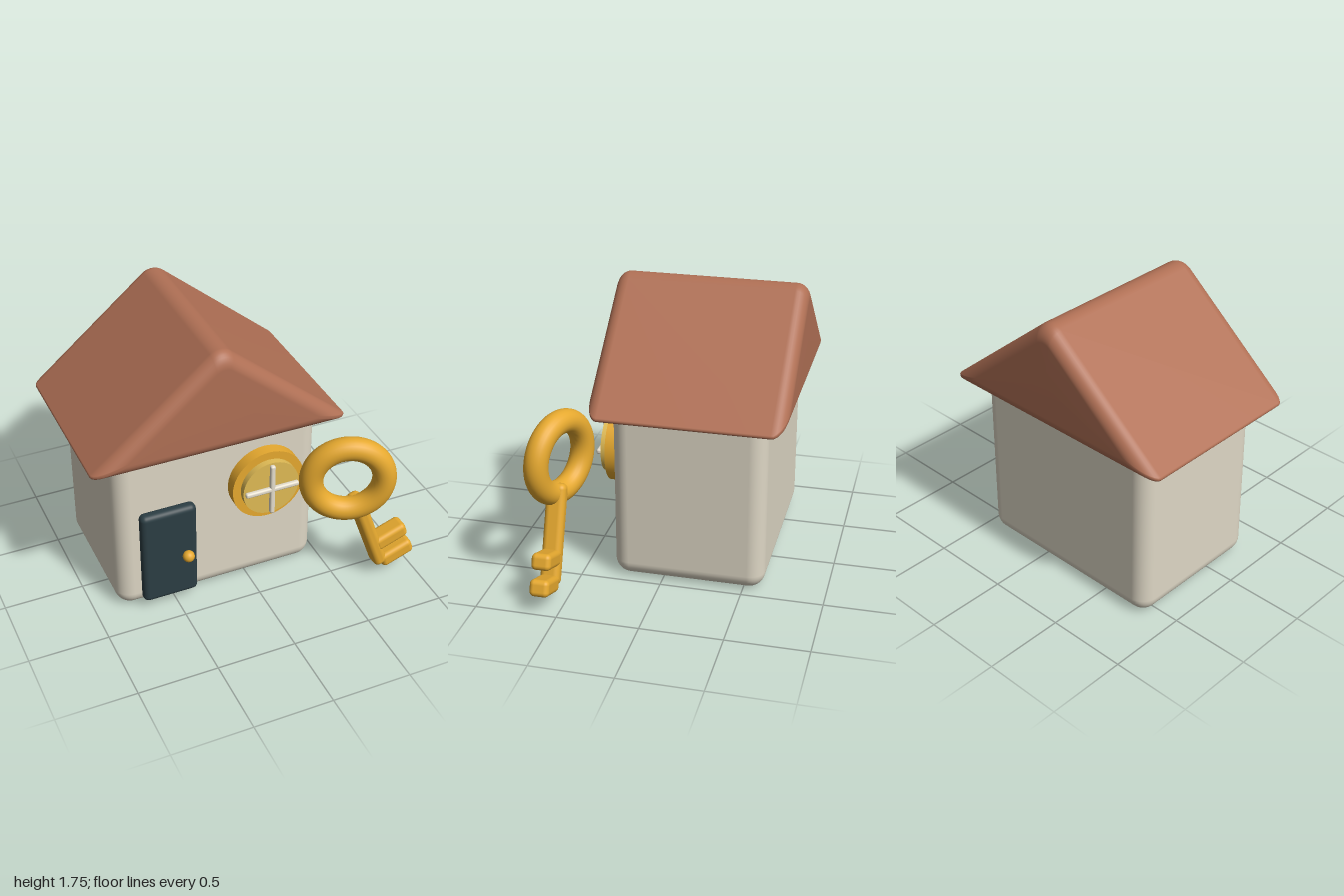
import * as THREE from 'three';
import { RoundedBoxGeometry } from 'three/addons/geometries/RoundedBoxGeometry.js';

const paint = (color) => new THREE.MeshStandardMaterial({ color });
const wall = paint(0xded7c5), clay = paint(0xb07055), slate = paint(0x2c3e44);
const gold = paint(0xe6a92f), glass = paint(0xe0bb55), cream = paint(0xe6dfce);

function add(parent, name, geometry, material, x = 0, y = 0, z = 0) {
  const mesh = new THREE.Mesh(geometry, material);
  mesh.name = name;
  mesh.position.set(x, y, z);
  parent.add(mesh);
  return mesh;
}

// Rounded box given by its two opposite corners
function addBox(parent, name, material, [x0, y0, z0], [x1, y1, z1], radius) {
  const geometry = new RoundedBoxGeometry(x1 - x0, y1 - y0, z1 - z0, 5, radius);
  return add(parent, name, geometry, material, (x0 + x1) / 2, (y0 + y1) / 2, (z0 + z1) / 2);
}

// Triangular prism with rounded corners and rounded ends, centred on the triangle's incentre
function roofGeometry(halfWidth, height, halfDepth, bevel) {
  const slope = Math.atan2(height, halfWidth);
  const inradius = halfWidth * Math.tan(slope / 2);
  const n = Math.PI / 2 - slope;
  const corners = [
    { x: halfWidth, y: -inradius, r: 0.015, from: -Math.PI / 2, to: n },
    { x: 0, y: height - inradius, r: 0.1, from: n, to: Math.PI - n },
    { x: -halfWidth, y: -inradius, r: 0.015, from: Math.PI - n, to: Math.PI * 1.5 },
  ];
  const outline = [];
  for (const c of corners) {
    const k = 1 - c.r / inradius;
    for (let i = 0; i <= 10; i++) {
      const a = c.from + ((c.to - c.from) * i) / 10;
      outline.push([c.x * k + c.r * Math.cos(a), c.y * k + c.r * Math.sin(a)]);
    }
  }

  // Cross-sections from back to front, shrinking evenly towards both ends
  const sections = [];
  for (const side of [-1, 1]) {
    for (let i = 0; i <= 8; i++) {
      const a = ((side < 0 ? i : 8 - i) / 8) * Math.PI / 2;
      const inset = bevel * (1 - Math.sin(a));
      sections.push([1 - inset / inradius, side * (halfDepth - bevel + bevel * Math.cos(a))]);
    }
  }
  const positions = [], index = [], count = outline.length;
  for (const [s, z] of sections) for (const [x, y] of outline) positions.push(x * s, y * s, z);
  const back = sections.length * count, front = back + 1, last = back - count;
  positions.push(0, 0, -halfDepth, 0, 0, halfDepth);
  for (let j = 0; j < count; j++) {
    const k = (j + 1) % count;
    for (let i = 0; i < sections.length - 1; i++) {
      const a = i * count + j, b = i * count + k;
      index.push(a, b, b + count, a, b + count, a + count);
    }
    index.push(back, k, j, front, last + j, last + k);
  }
  const geometry = new THREE.BufferGeometry();
  geometry.setAttribute('position', new THREE.Float32BufferAttribute(positions, 3));
  geometry.setIndex(index);
  geometry.computeVertexNormals();
  return geometry;
}

export function createModel() {
  const model = new THREE.Group();
  model.name = 'houseWithKey';

  // House
  addBox(model, 'walls', wall, [-0.855, 0, -0.625], [0.46, 1.19, 0.31], 0.1);
  add(model, 'roof', roofGeometry(0.83, 0.69, 0.59, 0.08), clay, -0.2, 1.39, -0.16);

  // Door
  addBox(model, 'door', slate, [-0.715, 0.06, 0.295], [-0.36, 0.715, 0.375], 0.035);
  add(model, 'doorKnob', new THREE.SphereGeometry(0.037, 24, 16), gold, -0.435, 0.37, 0.405);

  // Round window
  const roundWindow = new THREE.Group();
  roundWindow.name = 'roundWindow';
  roundWindow.position.set(0.1, 0.74, 0);
  model.add(roundWindow);
  const disc = (r, depth) => new THREE.CylinderGeometry(r, r, depth, 64).rotateX(Math.PI / 2);
  add(roundWindow, 'windowFrame', disc(0.235, 0.075), gold, 0, 0, 0.3475);
  add(roundWindow, 'windowPane', disc(0.183, 0.06), glass, 0, 0, 0.395);
  addBox(roundWindow, 'verticalBar', cream, [-0.016, -0.175, 0.423], [0.016, 0.175, 0.455], 0.012);
  addBox(roundWindow, 'horizontalBar', cream, [-0.175, -0.016, 0.423], [0.175, 0.016, 0.455], 0.012);

  // Key: the bow is turned about y, the shaft and teeth lean about z
  const key = new THREE.Group();
  key.name = 'key';
  key.position.set(0.52, 0.805, 0.605);
  model.add(key);
  const bow = add(key, 'keyBow', new THREE.TorusGeometry(0.2215, 0.0735, 24, 64), gold);
  bow.rotation.y = -0.35;
  const blade = new THREE.Group();
  blade.name = 'keyBlade';
  blade.rotation.z = 0.35;
  key.add(blade);
  addBox(blade, 'keyShaft', gold, [-0.045, -0.77, -0.06], [0.045, -0.155, 0.06], 0.035);
  for (const [top, bottom] of [[-0.55, -0.65], [-0.705, -0.807]]) {
    addBox(blade, 'keyTooth', gold, [0, bottom, -0.06], [0.228, top, 0.06], 0.03);
  }
  return model;
}
